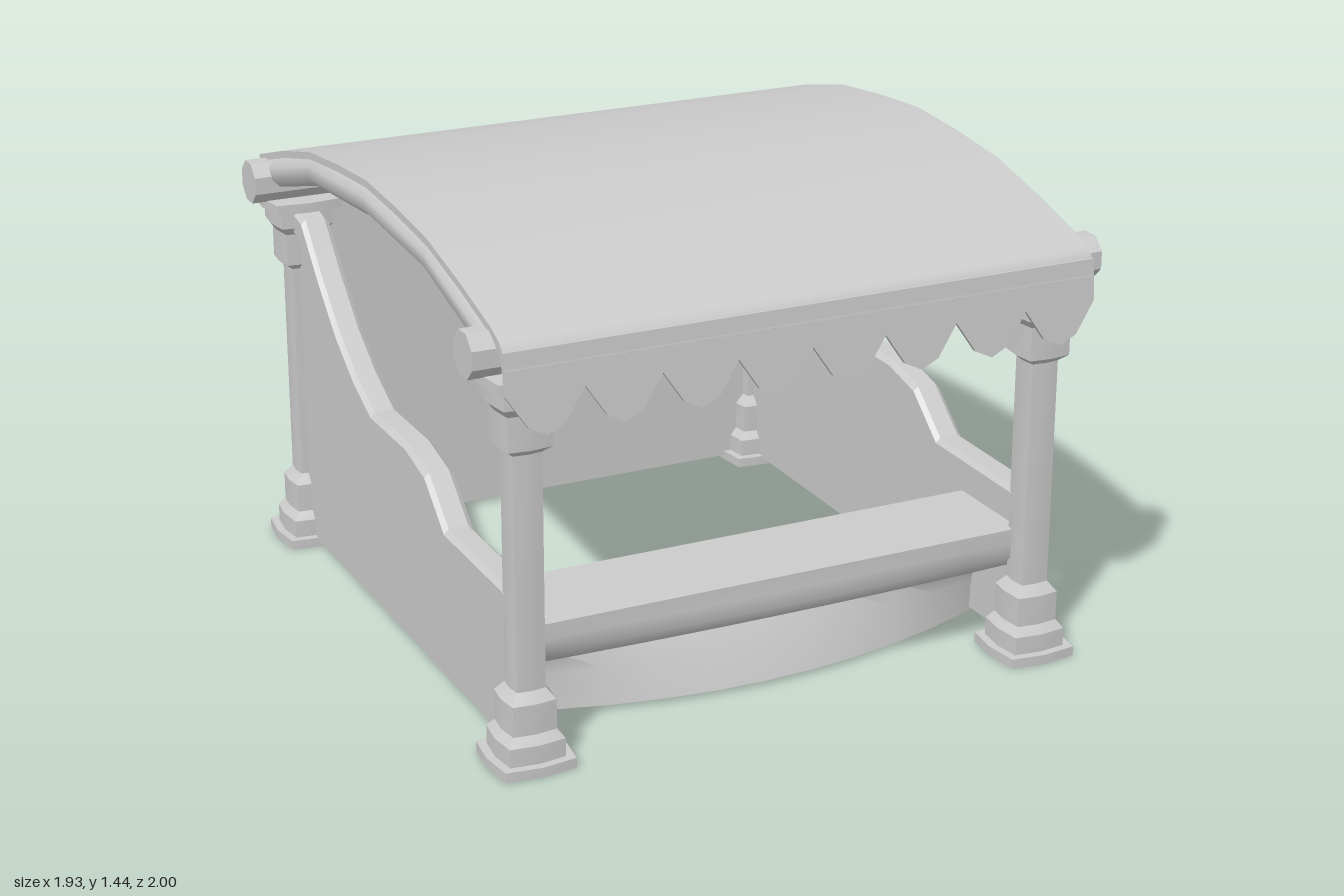
import * as THREE from 'three';
import { toCreasedNormals } from 'three/addons/utils/BufferGeometryUtils.js';

const material = new THREE.MeshStandardMaterial({ color: 0xcccccc, side: THREE.DoubleSide });

function add(parent, name, geometry, crease = 0.5) {
  const mesh = new THREE.Mesh(toCreasedNormals(geometry, crease), material);
  mesh.name = name;
  parent.add(mesh);
  return mesh;
}

// Skin a row of closed cross-sections; rings turn right-handed about the travel direction
function loft(rings, caps = true) {
  const n = rings[0].length, pos = rings.flat(2), index = [];
  for (let i = 0; i < rings.length - 1; i++) {
    for (let j = 0; j < n; j++) {
      const k = (j + 1) % n;
      const a = i * n + j, b = i * n + k, c = b + n, d = a + n;
      index.push(a, b, c, a, c, d);
    }
  }
  if (caps) {
    const e = (rings.length - 1) * n;
    for (let j = 1; j < n - 1; j++) index.push(0, j + 1, j, e, e + j, e + j + 1);
  }
  const g = new THREE.BufferGeometry();
  g.setAttribute('position', new THREE.Float32BufferAttribute(pos, 3));
  g.setIndex(index);
  return g;
}

// Extrude a [z, y] outline along x, centred on x = 0
function extrudeAcross(points, width) {
  const shape = new THREE.Shape(points.map(p => new THREE.Vector2(...p)));
  const g = new THREE.ExtrudeGeometry(shape, { depth: width, bevelEnabled: false });
  return g.translate(0, 0, -width / 2).rotateY(-Math.PI / 2);
}

// Column outline: a square whose sides bulge in the middle
function columnGeometry() {
  const steps = [[0, .118], [.03, .118], [.03, .093], [.085, .093], [.11, .073], [.2, .073], [.23, .048],
    [.92, .048], [.94, .073], [1.04, .073], [1.065, .093], [1.12, .093], [1.12, .118], [1.15, .118]];
  const outline = [[1, 0], [.89, -.89], [0, -1], [-.89, -.89], [-1, 0], [-.89, .89], [0, 1], [.89, .89]];
  return loft(steps.map(([y, s]) => outline.map(([x, z]) => [x * s, y, z * s])));
}

// Curved roof rafter, eight-sided
function rafterGeometry() {
  const path = [[.88, 1.225], [.8, 1.247], [.46, 1.342], [0, 1.375], [-.46, 1.342], [-.8, 1.247], [-.95, 1.215]];
  return loft(path.map(([z, y]) => Array.from({ length: 8 }, (_, i) => {
    const a = (i + .5) * Math.PI / 4;
    return [.048 * Math.cos(a), y - .048 * Math.sin(a), z];
  })));
}

// Serving counter: moulded top over an apron that bows forward at the floor
function counterGeometry() {
  const profile = [[.52, .385, 0], [.84, .385, 0], [.84, .34, 0], [.835, .295, .01], [.8, .255, .02],
    [.73, .228, .03], [.65, .218, .03], [.61, .19, .05], [.59, .12, .11], [.58, .012, .16],
    [.56, .012, 0], [.56, .34, 0], [.52, .34, 0]];
  const rings = [];
  for (let i = 0; i <= 10; i++) {
    const t = i / 5 - 1;
    rings.push(profile.map(([z, y, bow]) => [t * .79, y, z + bow * (1 - t * t)]));
  }
  return loft(rings, false);
}

// Front valance with eight scallops, leaning slightly forward
function valanceGeometry() {
  const shape = new THREE.Shape();
  shape.moveTo(.9, 1.24);
  shape.lineTo(-.9, 1.24);
  for (let i = 0; i < 8; i++) {
    const x = -.9 + i * .225;
    shape.lineTo(x, 1.12);
    shape.lineTo(x + .06, 1.03);
    shape.lineTo(x + .1125, 1.005);
    shape.lineTo(x + .165, 1.03);
  }
  shape.lineTo(.9, 1.12);
  const g = new THREE.ExtrudeGeometry(shape, { depth: .015, bevelEnabled: false });
  const p = g.attributes.position;
  for (let i = 0; i < p.count; i++) p.setZ(i, p.getZ(i) + .963 + (1.24 - p.getY(i)) * .09);
  return g;
}

export function createModel() {
  const model = new THREE.Group();
  model.name = 'marketStall';

  // Corner columns and the logs resting on them
  for (const z of [.86, -.88]) {
    for (const x of [-.805, .805]) {
      add(model, 'column', columnGeometry()).position.set(x, 0, z);
    }
    const log = new THREE.CylinderGeometry(.068, .068, 1.93, 8).rotateY(Math.PI / 8).rotateZ(Math.PI / 2);
    add(model, 'crossLog', log).position.set(0, 1.21, z > 0 ? z : -.87);
  }

  // Side walls with stepped handrails
  const rail = [[.84, .51], [.4, .515], [.26, .635], [.11, .67], [-.17, .67], [-.31, .735],
    [-.45, .83], [-.59, .96], [-.73, 1.11], [-.84, 1.13]];
  const section = [[-.045, -.072], [-.045, -.015], [-.03, 0], [.03, 0], [.045, -.015], [.045, -.072]];
  const wallOutline = [[-.86, .025], [.84, .025], ...rail.map(([z, y]) => [z, y - .03])];
  for (const side of [-1, 1]) {
    const wall = new THREE.Group();
    wall.name = side > 0 ? 'leftWall' : 'rightWall';
    wall.position.x = side * .805;
    add(wall, 'panel', extrudeAcross(wallOutline, .04));
    add(wall, 'handrail', loft(rail.map(([z, y]) => section.map(([x, dy]) => [x, y + dy, z]))), .3);
    model.add(wall);
  }

  // Back wall and counter
  add(model, 'backWall', new THREE.BoxGeometry(1.56, 1.14, .04)).position.set(0, .585, -.885);
  add(model, 'counter', counterGeometry(), .9);

  // Roof frame
  for (const x of [-.867, 0, .867]) add(model, 'rafter', rafterGeometry(), .9).position.x = x;
  for (const [z, y] of [[-.46, 1.35], [0, 1.385], [.46, 1.35]]) {
    add(model, 'purlin', new THREE.BoxGeometry(1.7, .05, .06)).position.set(0, y, z);
  }

  // Arched canopy with a rolled front edge
  const arch = [[-.95, 1.27], [-.72, 1.34], [-.47, 1.4], [-.23, 1.425], [0, 1.44], [.23, 1.425], [.46, 1.4],
    [.69, 1.345], [.9, 1.285], [.95, 1.262], [.975, 1.235], [.983, 1.19]];
  const under = arch.map(([z, y]) => [z > .92 ? z - .018 : z, z > .97 ? y - .008 : y - .022]).reverse();
  add(model, 'canopy', extrudeAcross([...arch, ...under].reverse(), 1.8), .7);
  add(model, 'valance', valanceGeometry());

  return model;
}
